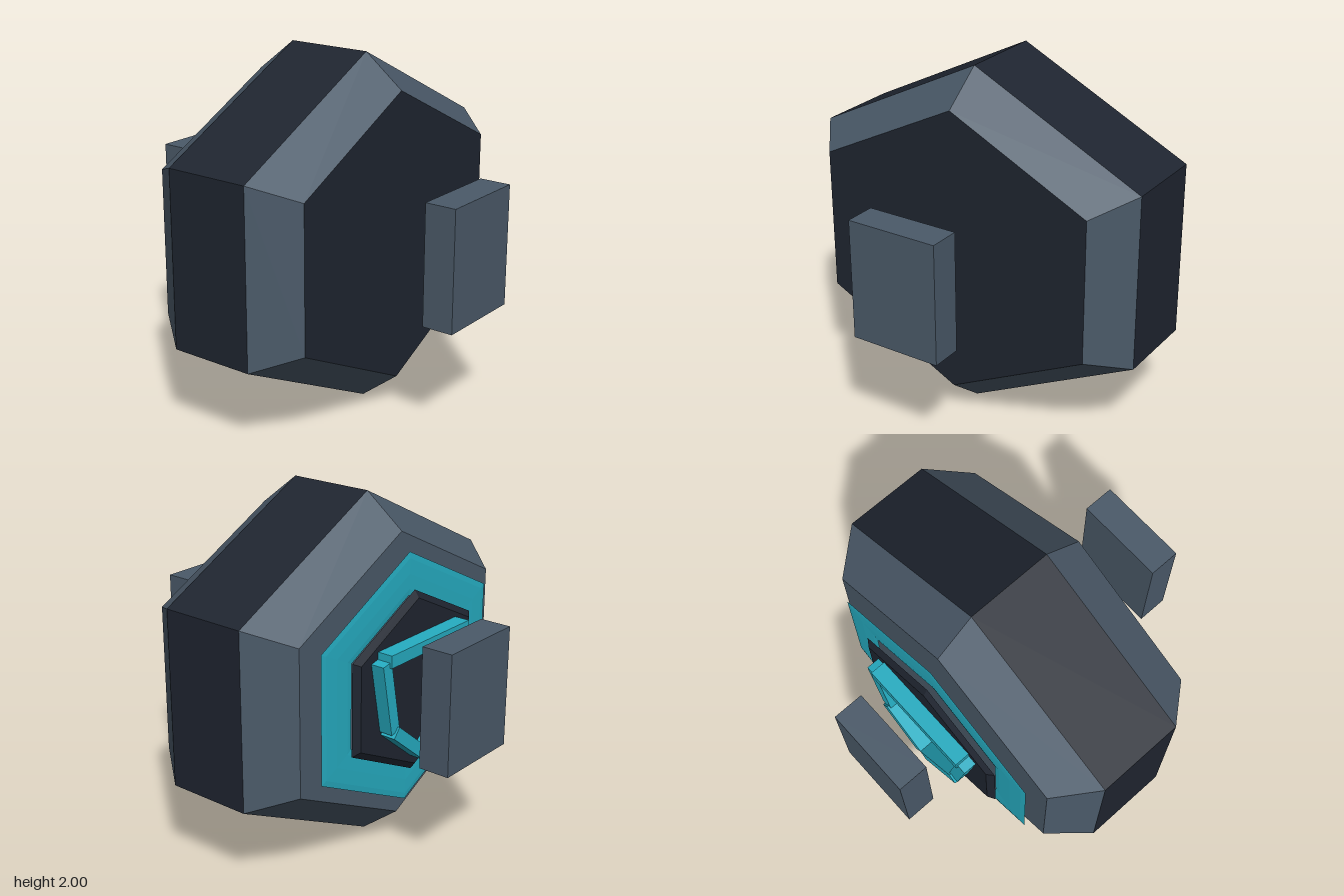
import * as THREE from 'three';

const SLATE = 0x4b5a69, DARK = 0x1f2530, TEAL = 0x26adc2;
const STRETCH = 2 / Math.sqrt(3); // widens a regular hexagon to a 2 x 2 outline

export function createModel() {
  const model = new THREE.Group();
  const centre = new THREE.Group();
  centre.name = 'hexagonalUnit';
  centre.position.y = 1;
  model.add(centre);

  function add(name, geometry, color, parent = centre) {
    const material = new THREE.MeshStandardMaterial({ color, flatShading: true });
    const mesh = new THREE.Mesh(geometry, material);
    mesh.name = name;
    parent.add(mesh);
    return mesh;
  }

  // Six-sided frustum along z
  function hexFrustum(rFront, rBack, zFront, zBack, open) {
    return new THREE.CylinderGeometry(rFront, rBack, zFront - zBack, 6, 1, open)
      .rotateX(Math.PI / 2)
      .scale(STRETCH, 1, 1)
      .translate(0, 0, (zFront + zBack) / 2);
  }

  // Flat hexagonal cap facing +z
  const hexCap = (r) => new THREE.CircleGeometry(r, 6, Math.PI / 6).scale(STRETCH, 1, 1);

  // Body: dark band, two slate bevels, front and back faces
  add('bodyBand', hexFrustum(1, 1, 0.25, -0.25, true), DARK);
  add('frontBevel', hexFrustum(0.82, 1, 0.48, 0.25, true), SLATE);
  add('backBevel', hexFrustum(1, 0.82, -0.25, -0.48, true), SLATE);
  add('frontFace', hexCap(0.82), DARK).position.z = 0.48;
  add('backFace', hexCap(0.82).rotateY(Math.PI), SLATE).position.z = -0.48;

  // Flattened glowing ring floating behind the back face
  const ring = new THREE.TorusGeometry(0.6, 0.12, 8, 6)
    .rotateZ(Math.PI / 6)
    .scale(STRETCH, 1, 0.04);
  add('backRing', ring, TEAL).position.z = -0.535;

  // Tapered plate behind the ring
  add('emblemPlate', hexFrustum(0.52, 0.48, -0.572, -0.6, false), DARK);

  // Five bars forming a pentagon on the plate
  const bars = new THREE.Group();
  bars.name = 'pentagonBars';
  centre.add(bars);
  function bar(name, x1, y1, x2, y2, depth) {
    const length = Math.hypot(x2 - x1, y2 - y1);
    const mesh = add(name, new THREE.BoxGeometry(length, 0.07, depth), TEAL, bars);
    mesh.position.set((x1 + x2) / 2, (y1 + y2) / 2, -0.6 - depth / 2);
    mesh.rotation.z = Math.atan2(y2 - y1, x2 - x1);
  }
  bar('topBar', -0.345, 0.245, 0.345, 0.245, 0.09);
  for (const [side, s] of [['left', 1], ['right', -1]]) {
    bar(side + 'SideBar', s * 0.365, 0.235, s * 0.285, -0.17, 0.078);
    bar(side + 'LowerBar', s * 0.29, -0.17, s * 0.02, -0.39, 0.09);
  }

  // Blocks floating in front and behind
  for (const [name, s] of [['frontBlock', 1], ['backBlock', -1]]) {
    add(name, new THREE.BoxGeometry(0.53, 0.68, 0.18), SLATE).position.z = s * 0.91;
  }

  return model;
}
